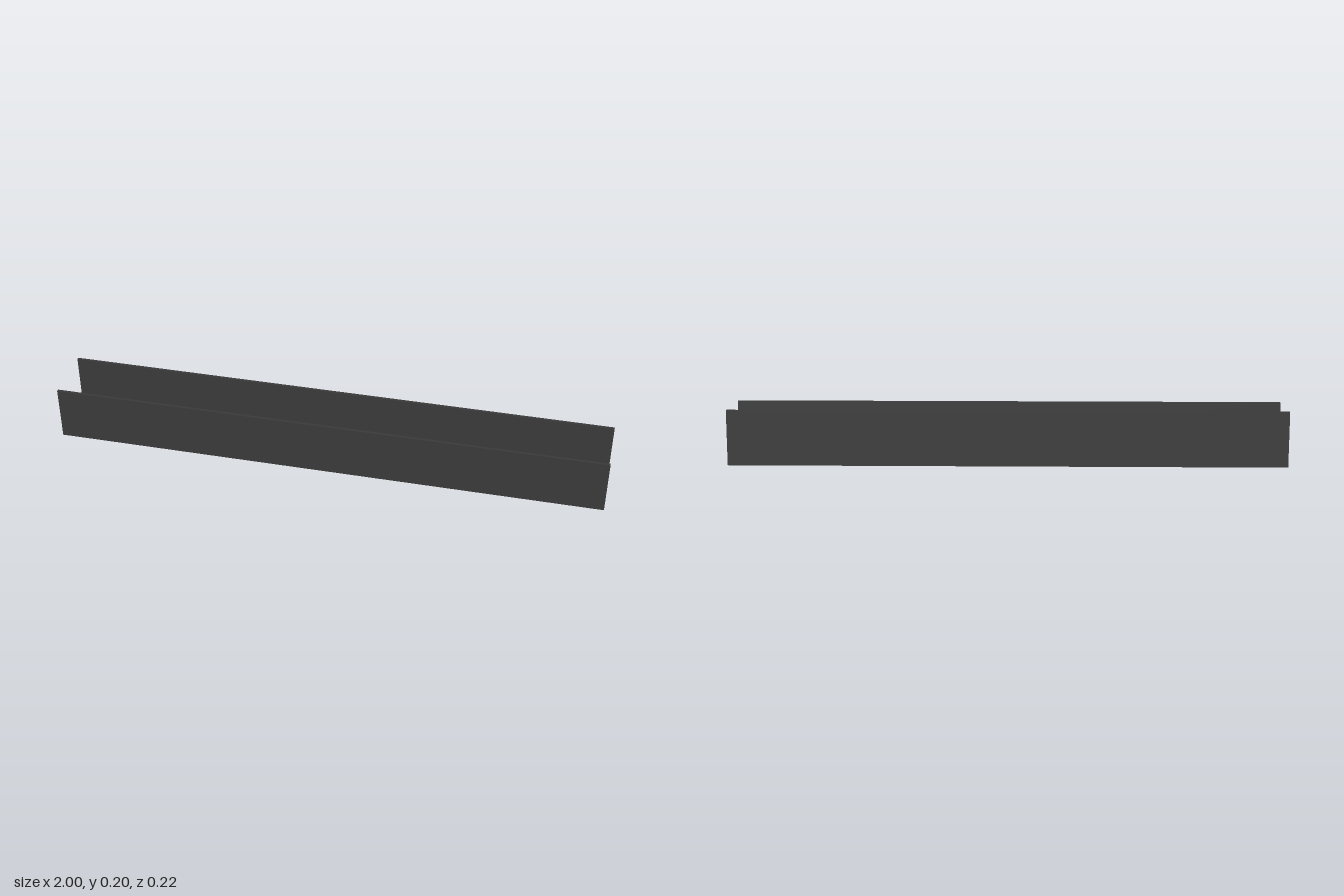
import * as THREE from 'three';

const WALL_Z = 0.1, WALL_T = 0.01, HEIGHT = 0.2, FLOOR = 0.035;
const DIP_X = -0.9, DIP_HALF = 0.1, DIP_DEPTH = 0.026, HOLE = 0.006;

const material = new THREE.MeshStandardMaterial({ color: 0x3a3a3a });

// Height of the floor's upper face: flat, with a shallow arc near one end
function floorTop(x) {
  const d = Math.abs(x - DIP_X);
  if (d >= DIP_HALF) return FLOOR;
  const r = (DIP_HALF ** 2 + DIP_DEPTH ** 2) / (2 * DIP_DEPTH);
  return FLOOR - DIP_DEPTH + r - Math.sqrt(r * r - d * d);
}

// Floor piece: side profile extruded across z
function floorPiece(name, x0, x1, z0, z1) {
  const shape = new THREE.Shape();
  shape.moveTo(x0, 0);
  shape.lineTo(x1, 0);
  shape.lineTo(x1, floorTop(x1));
  const dipEnd = Math.min(x1, DIP_X + DIP_HALF);
  const dipStart = Math.max(x0, DIP_X - DIP_HALF);
  if (dipEnd > dipStart) {
    for (let i = 0; i <= 24; i++) {
      const x = dipEnd + (dipStart - dipEnd) * i / 24;
      if (x < x1 - 1e-6) shape.lineTo(x, floorTop(x));
    }
  } else {
    shape.lineTo(x0, FLOOR);
  }
  const geometry = new THREE.ExtrudeGeometry(shape, { depth: z1 - z0, bevelEnabled: false });
  geometry.translate(0, 0, z0);
  const mesh = new THREE.Mesh(geometry, material);
  mesh.name = name;
  return mesh;
}

export function createModel() {
  const model = new THREE.Group();
  model.name = 'channelTray';

  // Two long thin side walls
  for (const side of [1, -1]) {
    const wall = new THREE.Mesh(new THREE.BoxGeometry(2, HEIGHT, WALL_T), material);
    wall.name = side > 0 ? 'frontWall' : 'backWall';
    wall.position.set(0, HEIGHT / 2, side * (WALL_Z + WALL_T / 2));
    model.add(wall);
  }

  // Floor, broken by two open slots
  model.add(floorPiece('middleFloor', -0.175, 0.175, -WALL_Z, WALL_Z));
  model.add(floorPiece('leftFloor', 0.275, 1, -WALL_Z, WALL_Z));

  // Dipped end of the floor, built around a tiny drain hole
  const dipped = new THREE.Group();
  dipped.name = 'dippedFloor';
  dipped.add(
    floorPiece('dippedFloorBack', -1, -0.275, -WALL_Z, -HOLE),
    floorPiece('dippedFloorFront', -1, -0.275, HOLE, WALL_Z),
    floorPiece('dippedFloorOuter', -1, DIP_X - HOLE, -HOLE, HOLE),
    floorPiece('dippedFloorInner', DIP_X + HOLE, -0.275, -HOLE, HOLE)
  );
  model.add(dipped);

  return model;
}
